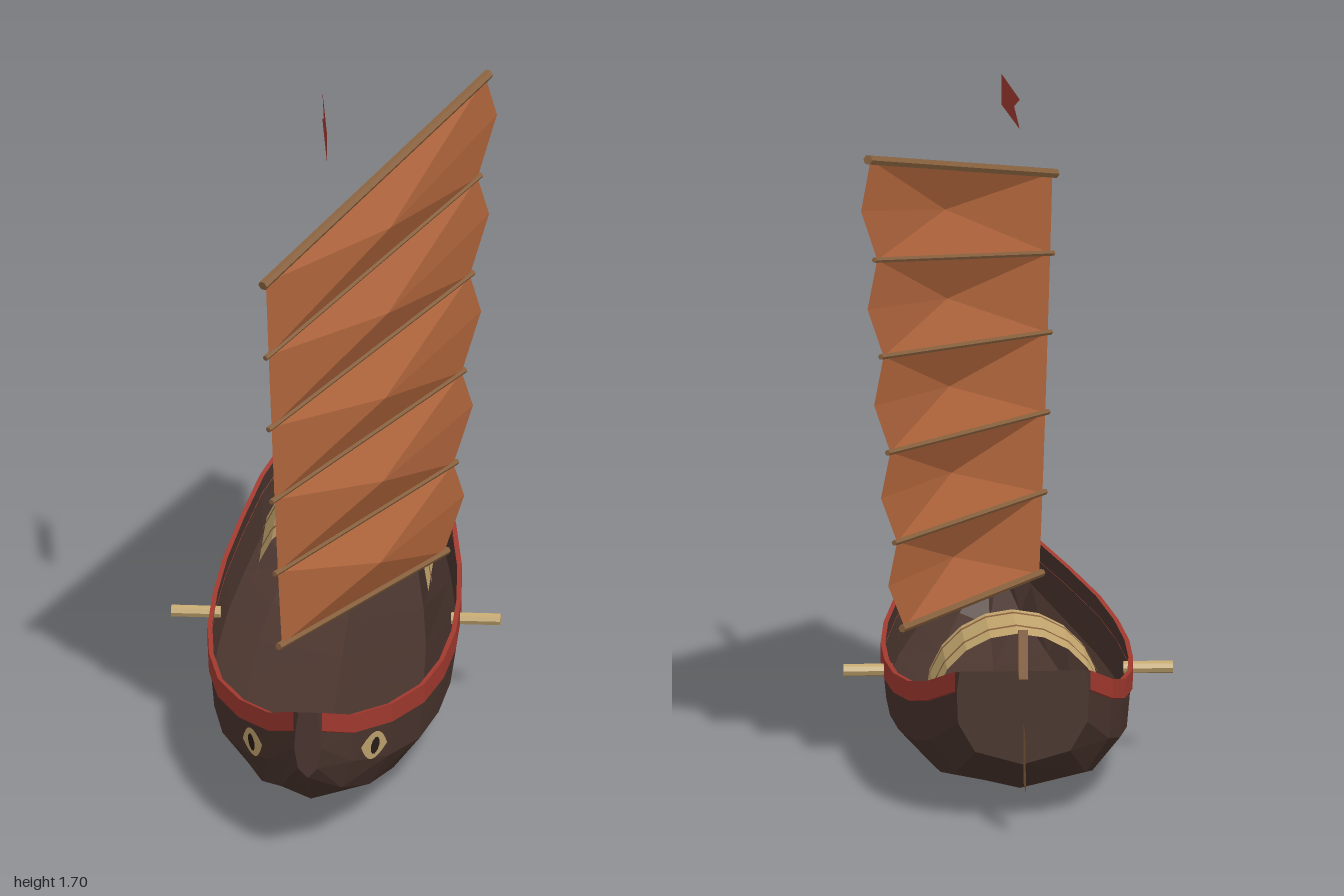
import * as THREE from 'three';

const mat = (name, color, double = true) => {
  const m = new THREE.MeshStandardMaterial({ color, flatShading: true });
  m.name = name;
  if (double) m.side = THREE.DoubleSide;
  return m;
};

// Surface through a list of equal-length cross-sections of [x, y, z] points
function loft(sections) {
  const n = sections[0].length, index = [];
  for (let i = 0; i < sections.length - 1; i++)
    for (let j = 0; j < n - 1; j++) {
      const a = i * n + j, b = a + n;
      index.push(a, a + 1, b, b, a + 1, b + 1);
    }
  const g = new THREE.BufferGeometry();
  g.setAttribute('position', new THREE.Float32BufferAttribute(sections.flat(2), 3));
  g.setIndex(index);
  g.computeVertexNormals();
  return g;
}

const flatShape = (pts) => new THREE.ShapeGeometry(new THREE.Shape(pts.map(([x, y]) => new THREE.Vector2(x, y))));

export function createModel() {
  const model = new THREE.Group();
  const darkWood = mat('darkHullWood', 0x4a352e);
  const red = mat('redPaint', 0xa33a2f);
  const canvas = mat('sailCanvas', 0xb0653c);
  const wood = mat('sparWood', 0x8a6340);
  const straw = mat('straw', 0xc4a76f);
  const black = mat('pupilDark', 0x2a1d18);
  const add = (name, geo, material, parent = model) => {
    const m = new THREE.Mesh(geo, material);
    m.name = name;
    parent.add(m);
    return m;
  };

  // Hull stations: z, half width, sheer height, keel height
  const stations = [
    [1, 0.036, 0.42, 0.24], [0.88, 0.11, 0.365, 0.13], [0.7, 0.195, 0.32, 0.06],
    [0.5, 0.262, 0.288, 0.018], [0.3, 0.298, 0.27, 0.006], [0.1, 0.315, 0.262, 0],
    [-0.1, 0.315, 0.262, 0], [-0.3, 0.303, 0.272, 0.006], [-0.5, 0.275, 0.295, 0.02],
    [-0.68, 0.236, 0.335, 0.055], [-0.825, 0.172, 0.39, 0.148],
  ];
  const hullSection = ([z, w, s, b]) => {
    const d = s - b;
    const half = [
      [w - 0.012, s], [w - 0.005, s - 0.05], [w * 0.955, b + d * 0.45], [w * 0.7, b + d * 0.14],
    ];
    return [...half, [0, b], ...half.map(([x, y]) => [-x, y]).reverse()].map(([x, y]) => [x, y, z]);
  };
  const sections = stations.map(hullSection);
  add('hull', loft(sections), darkWood);
  add('stemPlate', flatShape(sections[0]), darkWood).position.z = 1;
  add('transom', flatShape(sections.at(-1)), darkWood).position.z = -0.825;

  // Red gunwale strakes, rowing stubs and painted eyes on both sides
  for (const s of [1, -1]) {
    const side = s > 0 ? 'left' : 'right';
    add(side + 'Gunwale', loft(stations.map(([z, w, y]) => [
      [s * (w - 0.006), y - 0.052, z], [s * w, y - 0.05, z], [s * w, y, z], [s * (w - 0.012), y, z],
    ])), red);

    const stub = add(side + 'OarStub', new THREE.CylinderGeometry(0.016, 0.016, 0.125, 8), straw);
    stub.rotation.z = Math.PI / 2;
    stub.position.set(s * 0.355, 0.227, -0.06);

    const eye = new THREE.Group();
    eye.name = side + 'Eye';
    const normal = new THREE.Vector3(s, -0.08, 0.47).normalize();
    eye.position.set(s * 0.149, 0.245, 0.79).addScaledVector(normal, 0.006);
    eye.lookAt(eye.position.clone().add(normal));
    eye.rotateZ(-s * 0.27);
    const lens = new THREE.Shape();
    lens.moveTo(-0.073, 0);
    lens.quadraticCurveTo(-0.035, 0.037, 0, 0.037).quadraticCurveTo(0.035, 0.037, 0.073, 0);
    lens.quadraticCurveTo(0.035, -0.037, 0, -0.037).quadraticCurveTo(-0.035, -0.037, -0.073, 0);
    add('eyeWhite', new THREE.ShapeGeometry(lens, 4), straw, eye);
    add('pupil', new THREE.CircleGeometry(0.023, 10), black, eye).position.z = 0.003;
    model.add(eye);
  }

  // Arched straw shelter with two hoops
  const arch = (r, z0, z1) => loft([z0, z1].map((z) => Array.from({ length: 11 }, (_, i) => {
    const a = (i / 10) * Math.PI;
    return [r * Math.cos(a), 0.207 + r * Math.sin(a), z];
  })));
  add('shelter', arch(0.22, -0.27, -0.555), straw);
  for (const z of [-0.33, -0.48]) add('shelterHoop', arch(0.225, z - 0.009, z + 0.009), wood);

  // Sail rig: local x runs along the sail, local z is its billow direction
  const rig = new THREE.Group();
  rig.name = 'sailRig';
  rig.position.z = 0.27;
  rig.rotation.y = Math.atan2(0.855, 0.518);
  model.add(rig);
  // Battens: luff u, luff y, leech u, leech y
  const battens = [
    [-0.2, 0.36, 0.515, 0.36], [-0.217, 0.567, 0.556, 0.59], [-0.232, 0.772, 0.592, 0.83],
    [-0.245, 0.977, 0.628, 1.085], [-0.258, 1.18, 0.662, 1.342], [-0.27, 1.385, 0.697, 1.608],
  ];
  battens.forEach(([u0, y0, u1, y1], i) => {
    const last = i === battens.length - 1;
    const t = last ? 0.026 : i === 0 ? 0.02 : 0.015;
    const name = last ? 'yard' : i === 0 ? 'boom' : 'batten';
    const spar = add(name, new THREE.CylinderGeometry(t / 2, t / 2, Math.hypot(u1 - u0, y1 - y0) + 0.03, 6), wood, rig);
    spar.position.set((u0 + u1) / 2, (y0 + y1) / 2, 0);
    spar.rotation.z = Math.atan2(y1 - y0, u1 - u0) - Math.PI / 2;
    if (last) return;
    // Billowed panel: a fan around a raised centre, with a pointed leech
    const [a0, b0, a1, b1] = battens[i + 1];
    const rim = [[u0, y0], [u1, y1], [(u1 + a1) / 2 + 0.068, (y1 + b1) / 2 + 0.01], [a1, b1], [a0, b0]];
    const centre = [(u0 + u1 + a0 + a1) / 4, (y0 + y1 + b0 + b1) / 4, 0.05];
    const pos = rim.flatMap((p, k) => [...centre, ...p, 0, ...rim[(k + 1) % 5], 0]);
    const g = new THREE.BufferGeometry();
    g.setAttribute('position', new THREE.Float32BufferAttribute(pos, 3));
    g.computeVertexNormals();
    add('sailPanel', g, canvas, rig);
  });

  // Swallow-tailed pennant
  const flag = add('pennant', flatShape([[0, 1.615], [0.29, 1.615], [0.2, 1.655], [0.29, 1.692], [0, 1.695]]), red);
  flag.position.z = 0.27;
  flag.rotation.y = Math.PI / 2 + 0.11;

  // Rudder stock and blade
  const stock = add('rudderStock', new THREE.BoxGeometry(0.024, 0.125, 0.022), wood);
  stock.position.set(0, 0.437, -0.846);
  stock.rotation.x = 0.15;
  add('rudderBlade', flatShape([[0.855, 0.267], [0.952, 0.255], [1, 0.11], [0.87, 0.11]]), wood).rotation.y = Math.PI / 2;

  return model;
}
